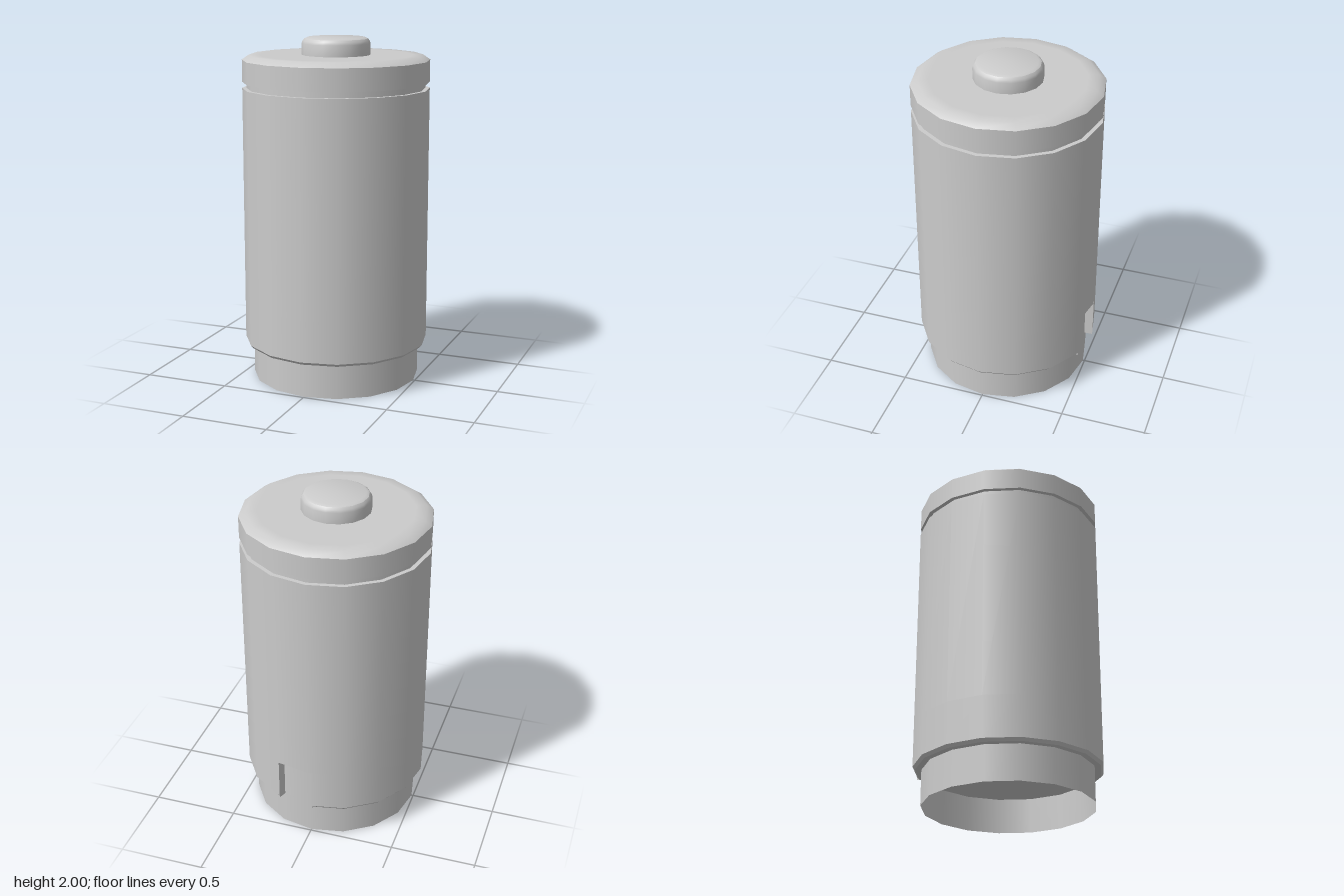
import * as THREE from 'three';
import { mergeGeometries } from 'three/addons/utils/BufferGeometryUtils.js';

const SIDES = 16, STEP = (Math.PI * 2) / SIDES;
const R = 0.54, BASE_R = 0.49, BODY_Y = 0.205, NOTCH_Y = 0.465;
const NOTCH = [Math.PI - 0.367, Math.PI + 0.046];   // angles of the notch's sides

// Radius factor that keeps any angle on the flat sides of the 16-gon
function flat(a) {
  const local = ((a % STEP) + STEP) % STEP;
  return Math.cos(STEP / 2) / Math.cos(local - STEP / 2);
}

// Angles from a to b, including every corner of the 16-gon between them
function anglesBetween(a, b) {
  const list = [a];
  for (let k = Math.floor(a / STEP) + 1; k * STEP < b - 1e-6; k++) list.push(k * STEP);
  list.push(b);
  return list;
}
const FULL = anglesBetween(0, Math.PI * 2);
const AROUND = anglesBetween(NOTCH[1], NOTCH[0] + Math.PI * 2);
const INSIDE = anglesBetween(...NOTCH);

// Sweeps a [radius, y] profile round the angles, smooth within the strip
function strip(profile, angles = FULL) {
  const pos = [], nor = [], index = [], n = profile.length;
  const slopes = profile.slice(1).map(([r, y], i) =>
    new THREE.Vector2(y - profile[i][1], profile[i][0] - r).normalize());
  angles.forEach((a, i) => {
    const s = Math.sin(a), c = Math.cos(a), f = flat(a);
    profile.forEach(([r, y], j) => {
      const m = slopes[Math.max(j - 1, 0)].clone().add(slopes[Math.min(j, n - 2)]).normalize();
      pos.push(r * f * s, y, r * f * c);
      nor.push(m.x * s, m.y, m.x * c);
      if (i && j) {
        const d = i * n + j, b = d - n;
        index.push(b - 1, d - 1, d, b - 1, d, b);
      }
    });
  });
  const g = new THREE.BufferGeometry();
  g.setAttribute('position', new THREE.Float32BufferAttribute(pos, 3));
  g.setAttribute('normal', new THREE.Float32BufferAttribute(nor, 3));
  g.setIndex(index);
  return g;
}

export function createModel() {
  const group = new THREE.Group();
  const solid = new THREE.MeshStandardMaterial({ color: 0xcccccc });
  const thin = new THREE.MeshStandardMaterial({ color: 0xcccccc, side: THREE.DoubleSide });
  const add = (name, parts, material = solid) => {
    const mesh = new THREE.Mesh(mergeGeometries(parts), material);
    mesh.name = name;
    group.add(mesh);
  };

  // Open base sleeve with a ceiling inside
  add('base', [
    strip([[BASE_R, 0], [BASE_R, BODY_Y]]),
    strip([[0, BODY_Y], [BASE_R, BODY_Y]]),
  ], thin);

  // Main body, its lower part interrupted by the notch
  add('body', [
    strip([[BASE_R, BODY_Y], [0.525, BODY_Y]], AROUND),
    strip([[0.525, BODY_Y], [R, 0.222]], AROUND),
    strip([[R, 0.222], [R, NOTCH_Y]], AROUND),
    strip([[R, NOTCH_Y], [R, 1.71]]),
    strip([[R, 1.71], [0.515, 1.71]]),
  ]);

  // Notch at the back: floor, top and two side walls
  const walls = NOTCH.map((a) => {
    const f = flat(a), mid = f * (R + BASE_R) / 2;
    return new THREE.PlaneGeometry(f * (R - BASE_R), NOTCH_Y - BODY_Y)
      .rotateY(a - Math.PI / 2)
      .translate(mid * Math.sin(a), (NOTCH_Y + BODY_Y) / 2, mid * Math.cos(a))
      .deleteAttribute('uv');
  });
  add('notch', [
    strip([[BASE_R, BODY_Y], [BASE_R, NOTCH_Y]], INSIDE),
    strip([[BASE_R, NOTCH_Y], [R, NOTCH_Y]], INSIDE),
    ...walls,
  ], thin);

  // Recessed groove between body and cap
  add('groove', [strip([[0.515, 1.71], [0.515, 1.745]])]);

  // Cap with a softened top edge
  add('cap', [
    strip([[0.515, 1.745], [R, 1.745]]),
    strip([[R, 1.745], [R, 1.872]]),
    strip([[R, 1.872], [0.5, 1.9], [0.44, 1.9], [0, 1.9]]),
  ]);

  // Button on top
  add('button', [
    strip([[0.197, 1.9], [0.197, 1.965], [0.192, 1.98], [0.182, 1.992]]),
    strip([[0.182, 1.992], [0.165, 2], [0, 2]]),
  ]);

  return group;
}
